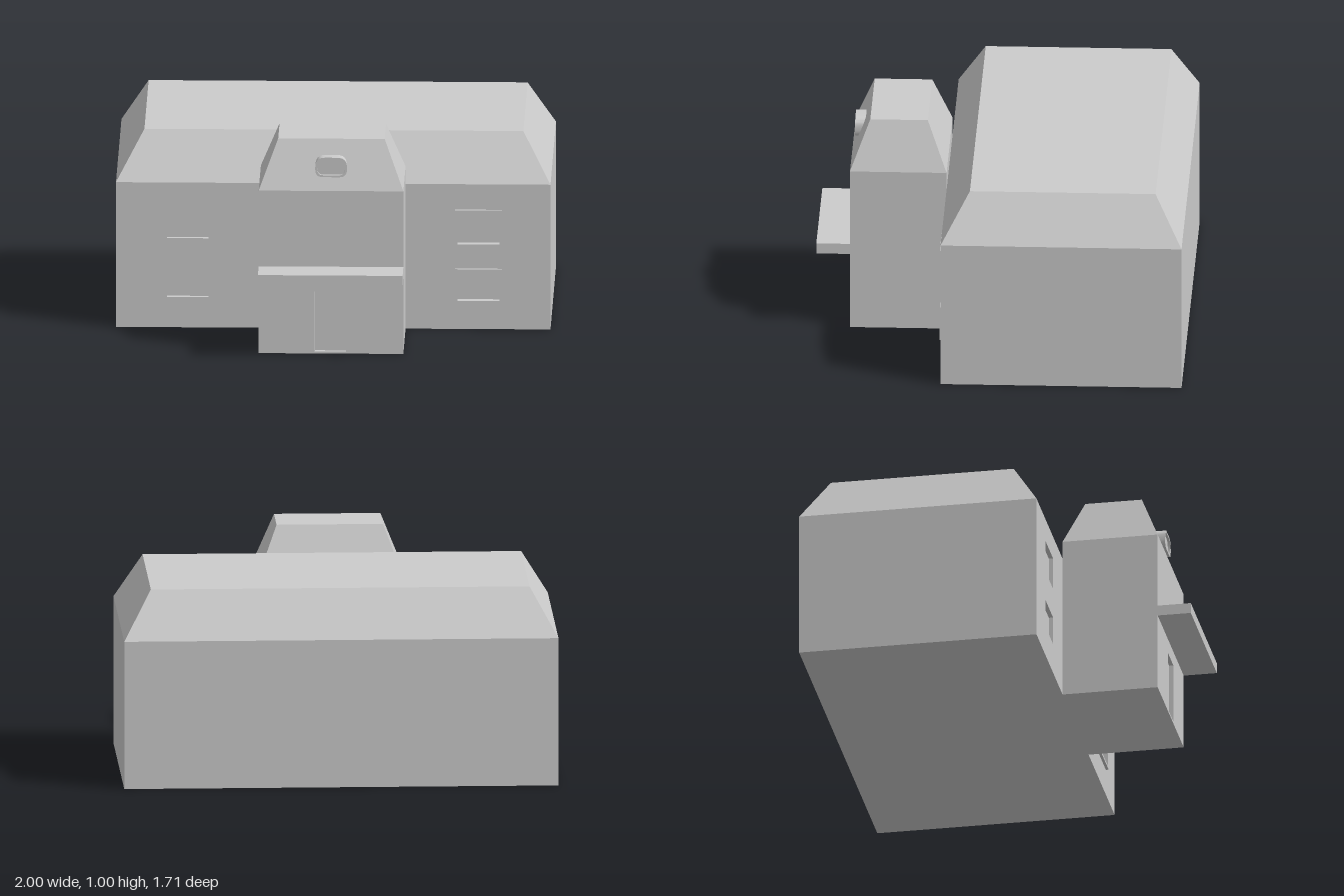
import * as THREE from 'three';
import { toCreasedNormals } from 'three/addons/utils/BufferGeometryUtils.js';

const material = new THREE.MeshStandardMaterial({ color: 0xcccccc });

function addMesh(parent, name, geometry) {
  const mesh = new THREE.Mesh(geometry, material);
  mesh.name = name;
  parent.add(mesh);
  return mesh;
}

// Flat-faced geometry from four-cornered faces, corners counter-clockwise
function quadGeometry(quads) {
  const positions = [];
  for (const [a, b, c, d] of quads) positions.push(...a, ...b, ...c, ...a, ...c, ...d);
  const geometry = new THREE.BufferGeometry();
  geometry.setAttribute('position', new THREE.Float32BufferAttribute(positions, 3));
  geometry.computeVertexNormals();
  return geometry;
}

const ring = (x, z0, z1, y) => [[-x, y, z1], [x, y, z1], [x, y, z0], [-x, y, z0]];

function rectPath(path, { x0, x1, y0, y1 }) {
  path.moveTo(x0, y0);
  path.lineTo(x1, y0);
  path.lineTo(x1, y1);
  path.lineTo(x0, y1);
  path.closePath();
  return path;
}

// A block with a truncated hip roof; its front wall has recessed openings
function buildBlock(name, { x, z0, z1, eave, top, roofX, roofZ0, roofZ1, openings }) {
  const group = new THREE.Group();
  group.name = name;
  const base = ring(x, z0, z1, 0);
  const eaves = ring(x, z0, z1, eave);
  const ridge = ring(roofX, roofZ0, roofZ1, top);
  const walls = [[...base].reverse()];
  const roof = [ridge];
  for (let i = 0; i < 4; i++) {
    const j = (i + 1) % 4;
    if (i > 0) walls.push([base[i], base[j], eaves[j], eaves[i]]);
    roof.push([eaves[i], eaves[j], ridge[j], ridge[i]]);
  }
  addMesh(group, 'walls', quadGeometry(walls));
  addMesh(group, 'roof', quadGeometry(roof));

  const front = rectPath(new THREE.Shape(), { x0: -x, x1: x, y0: 0, y1: eave });
  for (const o of openings) {
    front.holes.push(rectPath(new THREE.Path(), o));
    addMesh(group, o.name, recess(o, z1, 0.02));
  }
  addMesh(group, 'frontWall', new THREE.ShapeGeometry(front)).position.z = z1;
  return group;
}

// Reveals and back panel of an opening
function recess({ x0, x1, y0, y1 }, z, depth) {
  const corners = [[x0, y0], [x1, y0], [x1, y1], [x0, y1]];
  const outer = corners.map(c => [...c, z]);
  const inner = corners.map(c => [...c, z - depth]);
  const quads = [inner];
  for (let i = 0; i < 4; i++) {
    const j = (i + 1) % 4;
    quads.push([outer[i], outer[j], inner[j], inner[i]]);
  }
  return quadGeometry(quads);
}

// Rounded outline, rounder at the top than at the bottom
function roundedPath(path, w, y0, y1, rBottom, rTop) {
  path.moveTo(-w + rBottom, y0);
  path.lineTo(w - rBottom, y0);
  path.quadraticCurveTo(w, y0, w, y0 + rBottom);
  path.lineTo(w, y1 - rTop);
  path.quadraticCurveTo(w, y1, w - rTop, y1);
  path.lineTo(-w + rTop, y1);
  path.quadraticCurveTo(-w, y1, -w, y1 - rTop);
  path.lineTo(-w, y0 + rBottom);
  path.quadraticCurveTo(-w, y0, -w + rBottom, y0);
  return path;
}

export function createModel() {
  const model = new THREE.Group();
  model.name = 'house';
  const frontZ = 0.255;

  // Main building: plain windows on its right, framed ones on its left
  const plainWindows = [[0.145, 0.28], [0.425, 0.58]].map(([y0, y1]) =>
    ({ name: 'plainWindow', x0: -0.765, x1: -0.575, y0, y1 }));
  const framedWindows = [[0.137, 0.277], [0.407, 0.558]].map(([y0, y1]) =>
    ({ name: 'framedWindow', x0: 0.572, x1: 0.765, y0, y1 }));
  model.add(buildBlock('mainBuilding', {
    x: 1, z0: -0.855, z1: frontZ, eave: 0.69, top: 0.91,
    roofX: 0.872, roofZ0: -0.73, roofZ1: 0.125,
    openings: [...plainWindows, ...framedWindows],
  }));

  // Raised window frames
  const border = 0.011;
  for (const w of framedWindows) {
    const shape = rectPath(new THREE.Shape(), {
      x0: w.x0 - border, x1: w.x1 + border, y0: w.y0 - border, y1: w.y1 + border,
    });
    shape.holes.push(rectPath(new THREE.Path(), w));
    const frame = new THREE.ExtrudeGeometry(shape, { depth: 0.013, bevelEnabled: false });
    addMesh(model, 'windowFrame', frame).position.z = frontZ;
  }

  // Entrance tower with its door
  model.add(buildBlock('entranceTower', {
    x: 0.333, z0: frontZ, z1: 0.7, eave: 0.775, top: 1,
    roofX: 0.245, roofZ0: 0.345, roofZ1: 0.61,
    openings: [{ name: 'door', x0: -0.075, x1: 0.07, y0: 0.01, y1: 0.295 }],
  }));

  // Canopy over the door
  addMesh(model, 'canopy', new THREE.BoxGeometry(0.666, 0.05, 0.155)).position.set(0, 0.389, 0.7775);

  // Small rounded dormer window in the tower roof
  const dormer = roundedPath(new THREE.Shape(), 0.073, 0.837, 0.93, 0.035, 0.045);
  dormer.holes.push(roundedPath(new THREE.Path(), 0.064, 0.846, 0.922, 0.03, 0.04));
  const dormerFrame = new THREE.ExtrudeGeometry(dormer, { depth: 0.055, bevelEnabled: false, curveSegments: 6 });
  addMesh(model, 'dormerFrame', toCreasedNormals(dormerFrame, 0.6)).position.z = 0.632;
  const pane = roundedPath(new THREE.Shape(), 0.066, 0.844, 0.924, 0.03, 0.04);
  addMesh(model, 'dormerPane', new THREE.ShapeGeometry(pane, 6)).position.z = 0.675;

  return model;
}
